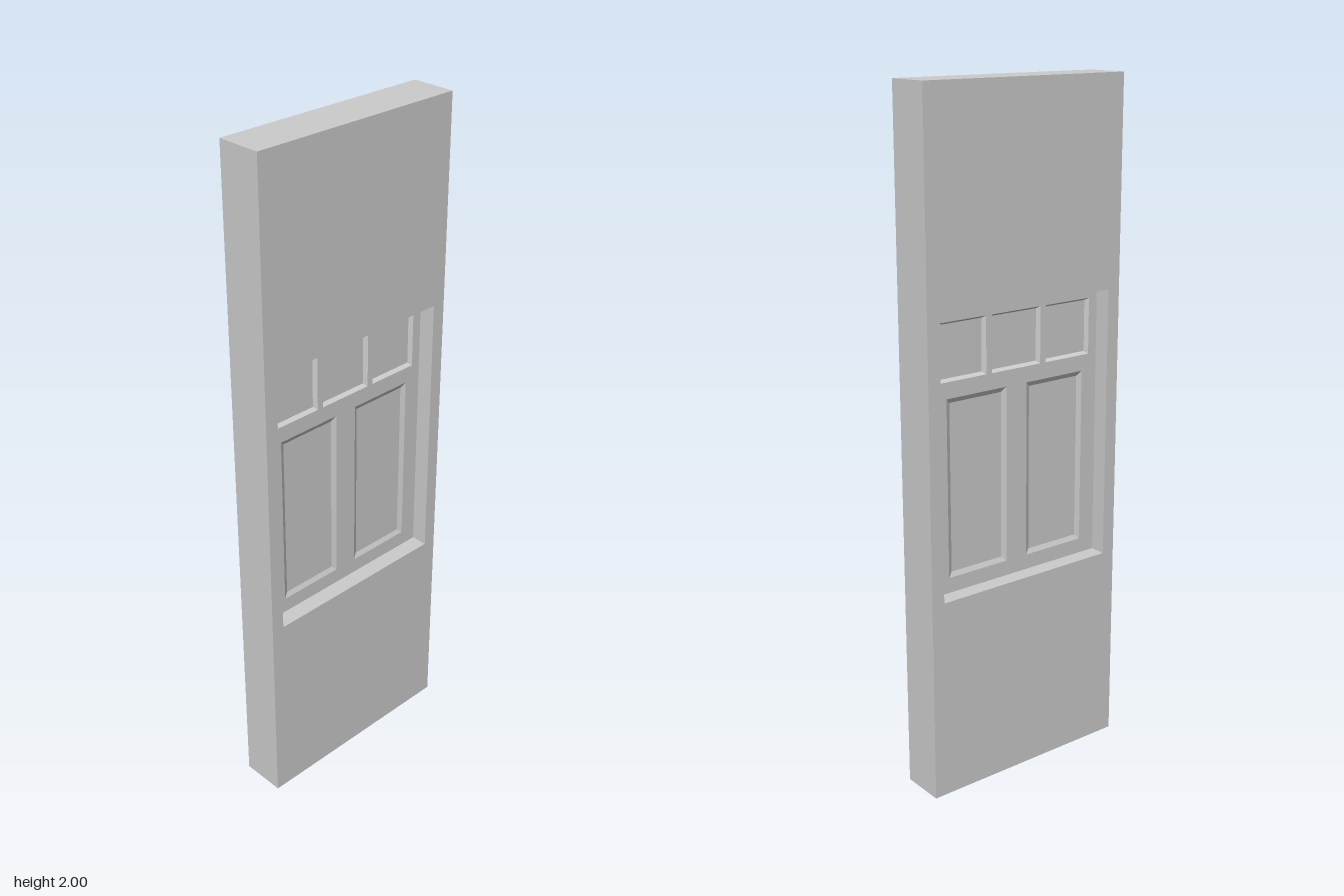
import * as THREE from 'three';

const material = new THREE.MeshStandardMaterial({ color: 0xcccccc, flatShading: true });

// Rectangles are [x0, y0, x1, y1]
const corners = ([x0, y0, x1, y1], inset = 0) => [
  [x0 + inset, y0 + inset], [x1 - inset, y0 + inset],
  [x1 - inset, y1 - inset], [x0 + inset, y1 - inset],
];
const outline = (rect, Type = THREE.Shape) =>
  new Type(corners(rect).map(([x, y]) => new THREE.Vector2(x, y)));

function plate(rect, holes) {
  const shape = outline(rect);
  shape.holes = holes.map((h) => outline(h, THREE.Path));
  return shape;
}

function mesh(geometry, name) {
  const m = new THREE.Mesh(geometry, material);
  m.name = name;
  return m;
}

// Sunken field: four sloping borders around a flat floor
function sunkenField(rect, bevel, z, depth) {
  const outer = corners(rect).map(([x, y]) => [x, y, z]);
  const inner = corners(rect, bevel).map(([x, y]) => [x, y, z - depth]);
  const points = [];
  const quad = (a, b, c, d) => points.push(...a, ...b, ...c, ...a, ...c, ...d);
  for (let i = 0; i < 4; i++) {
    const j = (i + 1) % 4;
    quad(outer[i], outer[j], inner[j], inner[i]);
  }
  quad(...inner);
  const geometry = new THREE.BufferGeometry();
  geometry.setAttribute('position', new THREE.Float32BufferAttribute(points, 3));
  geometry.computeVertexNormals();
  return geometry;
}

export function createModel() {
  const model = new THREE.Group();
  const wallDepth = 0.133;
  const faceZ = 0.017;
  const opening = [-0.293, 0.6, 0.293, 1.405];

  // Wall slab with the doorway cut through it
  const wall = new THREE.ExtrudeGeometry(plate([-0.333, 0, 0.333, 2], [opening]), {
    depth: wallDepth, bevelEnabled: false,
  });
  wall.translate(0, 0, -wallDepth / 2);
  model.add(mesh(wall, 'wall'));

  // Three window panes above two tall panels
  const panes = [[-0.264, -0.105], [-0.085, 0.085], [0.105, 0.264]]
    .map(([a, b]) => [a, 1.212, b, 1.376]);
  const panels = [[-0.24, -0.036], [0.036, 0.24]]
    .map(([a, b]) => [a, 0.645, b, 1.165]);

  // The door has the same face on both sides
  for (const side of ['front', 'back']) {
    const face = new THREE.Group();
    face.name = `${side}DoorFace`;
    const frame = new THREE.ShapeGeometry(plate(opening, [...panes, ...panels]));
    frame.translate(0, 0, faceZ);
    face.add(mesh(frame, 'doorFrame'));
    for (const rect of panes) face.add(mesh(sunkenField(rect, 0.007, faceZ, 0.012), 'windowPane'));
    for (const rect of panels) face.add(mesh(sunkenField(rect, 0.014, faceZ, 0.007), 'doorPanel'));
    if (side === 'back') face.rotation.y = Math.PI;
    model.add(face);
  }
  return model;
}
